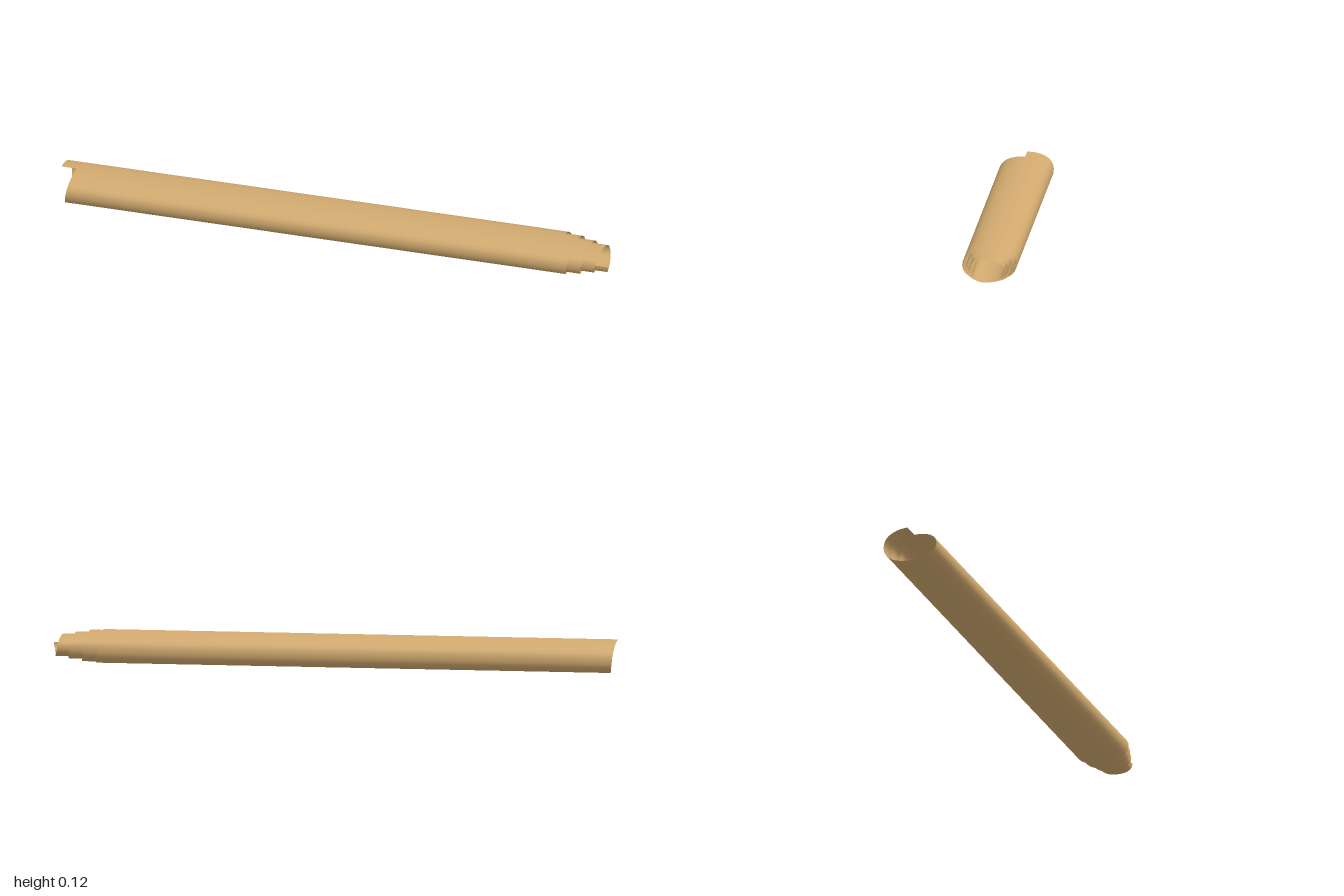
import * as THREE from 'three';

const TURNS = 3.75;
const CENTRE_Y = 0.058;

// Half-widths at each side and half-heights at each top/bottom of the roll
const WIDTHS = [0.095, 0.095, 0.086, 0.08, 0.072, 0.066, 0.062, 0.052]; // turns 0.25, 0.75, ...
const HEIGHTS = [0.06, 0.056, 0.052, 0.053, 0.045, 0.044, 0.037, 0.037]; // turns 0, 0.5, ...

function sample(list, i) {
  const k = THREE.MathUtils.clamp(i, 0, list.length - 1);
  const lo = Math.min(Math.floor(k), list.length - 2);
  return THREE.MathUtils.lerp(list[lo], list[lo + 1], k - lo);
}

// Signed power squares the ellipse off slightly
const soft = (v) => Math.sign(v) * Math.pow(Math.abs(v), 0.87);

// Spiral cross-section, from the loose outer edge on top to the inner edge
function spiral(t) {
  const a = t * Math.PI * 2;
  return {
    z: -sample(WIDTHS, (t - 0.25) * 2) * soft(Math.sin(a)),
    y: CENTRE_Y + sample(HEIGHTS, t * 2) * soft(Math.cos(a)),
  };
}

// Sheet wound around x, sliding along x so both ends telescope
function rolledSheet() {
  const around = 120;
  const along = 8;
  const positions = [];
  const index = [];
  for (let i = 0; i <= around; i++) {
    const t = (i / around) * TURNS;
    const { y, z } = spiral(t);
    const slide = 0.052 * t - 0.001 * t * t;
    for (let j = 0; j <= along; j++) {
      positions.push(-1 + slide + (j / along) * 1.819, y, z);
      if (i < around && j < along) {
        const p = i * (along + 1) + j;
        const q = p + along + 1;
        index.push(p, p + 1, q, p + 1, q + 1, q);
      }
    }
  }
  const geometry = new THREE.BufferGeometry();
  geometry.setAttribute('position', new THREE.Float32BufferAttribute(positions, 3));
  geometry.setIndex(index);
  geometry.computeVertexNormals();
  return geometry;
}

export function createModel() {
  const group = new THREE.Group();
  group.name = 'rolledScroll';
  const parchment = new THREE.MeshStandardMaterial({ color: 0xd2aa6f, side: THREE.DoubleSide });
  parchment.name = 'parchment tan';
  const sheet = new THREE.Mesh(rolledSheet(), parchment);
  sheet.name = 'rolledSheet';
  group.add(sheet);
  return group;
}
